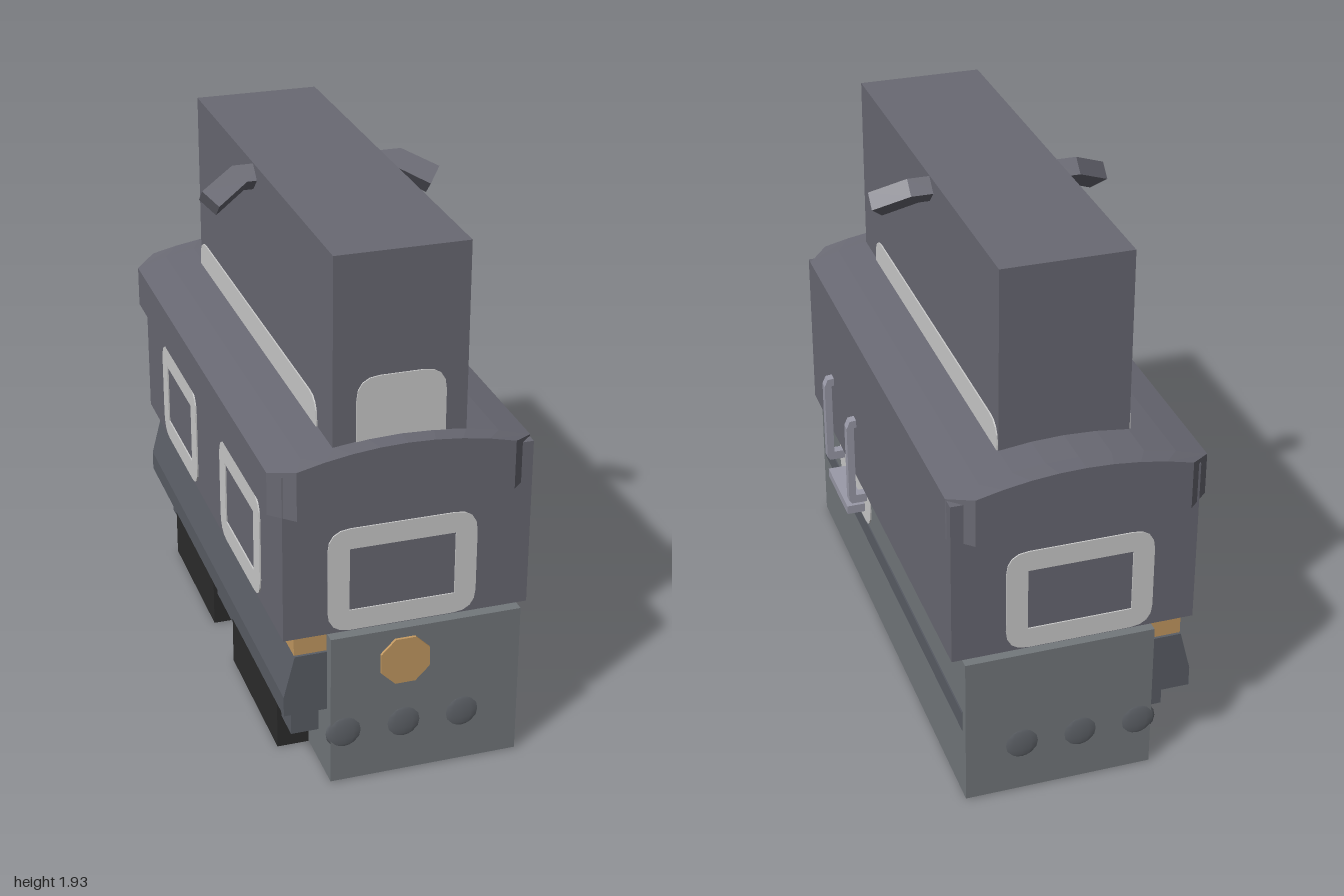
import * as THREE from 'three';

const CX = -0.02; // centre line of the body
const mat = (color, flat = true) =>
  new THREE.MeshStandardMaterial({ color, flatShading: flat, side: THREE.DoubleSide });
const body = mat(0x696973), lower = mat(0x73787c), trim = mat(0xcccccc), dark = mat(0x5a5e66);
const black = mat(0x2c2c2c), brass = mat(0xc49a62), metal = mat(0x9a9aa8);

export function createModel() {
  const model = new THREE.Group();
  const add = (name, geo, material, parent = model) => {
    const m = new THREE.Mesh(geo, material);
    m.name = name;
    parent.add(m);
    return m;
  };
  const box = (name, x0, x1, y0, y1, z0, z1, material) => {
    const m = add(name, new THREE.BoxGeometry(x1 - x0, y1 - y0, z1 - z0), material);
    m.position.set((x0 + x1) / 2, (y0 + y1) / 2, (z0 + z1) / 2);
    return m;
  };
  const poly = (pts) => new THREE.Shape(pts.map(([x, y]) => new THREE.Vector2(x, y)));
  const extrude = (shape, depth) =>
    new THREE.ExtrudeGeometry(shape, { depth, bevelEnabled: false, curveSegments: 4 });
  // Rectangle with rounded corners, centred on the origin
  const rounded = (w, h, r) => {
    const s = new THREE.Shape(), a = w / 2, b = h / 2;
    s.moveTo(-a + r, -b);
    s.lineTo(a - r, -b); s.quadraticCurveTo(a, -b, a, -b + r);
    s.lineTo(a, b - r); s.quadraticCurveTo(a, b, a - r, b);
    s.lineTo(-a + r, b); s.quadraticCurveTo(-a, b, -a, b - r);
    s.lineTo(-a, -b + r); s.quadraticCurveTo(-a, -b, -a + r, -b);
    return s;
  };
  // Thin rounded plate, with an optional rectangular opening
  const plate = (name, w, h, x, y, z, turn, open) => {
    const s = rounded(w, h, 0.08);
    if (open) {
      const a = w / 2 - 0.077, b = h / 2 - 0.077;
      s.holes.push(poly([[-a, -b], [-a, b], [a, b], [a, -b]]));
    }
    const m = add(name, extrude(s, 0.005), trim);
    m.position.set(x, y, z);
    m.rotation.y = turn;
  };

  // Main body
  box('lowerBody', -0.285, 0.4, 0.004, 0.58, -0.995, 0.99, lower);
  box('upperBody', -0.44, 0.437, 0.58, 1.2, -0.96, 0.95, body);
  box('tallHousing', -0.255, 0.21, 1.2, 1.93, -0.77, 0.91, body);

  // Arched roof with chamfered corners, from cross-sections along z
  const sections = [[-0.99, 0.38], [-0.915, 0.46], [0.91, 0.46], [0.985, 0.38]];
  const archY = (x) => 1.205 + 0.075 * (1 - (x / 0.46) ** 2);
  const us = [-1, -0.75, -0.5, -0.25, 0, 0.25, 0.5, 0.75, 1];
  const pos = [], idx = [], n = us.length + 2;
  sections.forEach(([z, w]) => {
    pos.push(CX - w, 1.05, z);
    us.forEach((u) => pos.push(CX + u * w, archY(u * w), z));
    pos.push(CX + w, 1.05, z);
  });
  for (let s = 0; s < 3; s++) for (let i = 0; i < n; i++) {
    const j = (i + 1) % n, a = s * n + i, b = s * n + j;
    idx.push(a, a + n, b, b, a + n, b + n);
  }
  for (let i = 1; i < n - 1; i++) {
    idx.push(0, i, i + 1);
    idx.push(3 * n, 3 * n + i + 1, 3 * n + i);
  }
  const roof = new THREE.BufferGeometry();
  roof.setAttribute('position', new THREE.Float32BufferAttribute(pos, 3));
  roof.setIndex(idx);
  roof.computeVertexNormals();
  add('roof', roof, body);

  // Flared skirt and the band above it
  const skirt = add('skirt', extrude(poly([
    [-0.4, 0.51], [-0.44, 0.355], [-0.44, 0.28], [0.402, 0.28], [0.402, 0.355], [0.36, 0.51],
  ]), 1.91), dark);
  skirt.position.z = -0.96;
  box('band', -0.4, 0.36, 0.51, 0.58, -0.95, 0.94, brass);

  // Undercarriage
  box('underBeam', -0.385, 0.3, 0.13, 0.28, -0.85, 0.85, dark);
  for (const z of [-0.435, 0.435])
    box('runningBlock', -0.4, 0.35, 0, 0.28, z - 0.295, z + 0.295, black);

  // End windows, side windows and the plates at the foot of the housing
  plate('frontWindowFrame', 0.53, 0.39, CX, 0.78, 0.95, 0, true);
  plate('backWindowFrame', 0.53, 0.39, CX, 0.78, -0.96, Math.PI, true);
  for (const z of [-0.43, 0.43])
    plate('sideWindowFrame', 0.52, 0.39, -0.44, 0.785, z, -Math.PI / 2, true);
  plate('frontPlate', 0.31, 0.38, CX, 1.31, 0.91, 0);
  plate('leftPlate', 1.51, 0.24, 0.21, 1.24, -0.01, Math.PI / 2);
  plate('rightPlate', 1.51, 0.24, -0.255, 1.24, -0.01, -Math.PI / 2);
  plate('doorPlate', 0.46, 0.42, 0.4, 0.575, 0.45, Math.PI / 2);

  // Head lamp and the rows of shallow domes at each end
  const lamp = add('headLamp', new THREE.CylinderGeometry(0.095, 0.095, 0.04, 8), brass);
  lamp.rotation.set(Math.PI / 2, Math.PI / 8, 0);
  lamp.position.set(CX, 0.455, 0.98);
  for (const z of [-0.99, 0.985]) for (const dx of [-0.215, 0, 0.215]) {
    const dome = add('dome', new THREE.SphereGeometry(0.067, 12, 8), mat(0x62666c, false));
    dome.scale.z = 0.16;
    dome.position.set(CX + dx, 0.2, z);
  }

  // Grab rails and step on the left side
  const rail = poly([
    [0.38, 0.475], [0.465, 0.475], [0.475, 0.49], [0.475, 0.81], [0.462, 0.84],
    [0.42, 0.845], [0.42, 0.815], [0.447, 0.81], [0.447, 0.51], [0.38, 0.51],
  ]);
  for (const z of [0.28, 0.62])
    add('grabRail', extrude(rail, 0.036), metal).position.z = z - 0.018;
  box('step', 0.38, 0.475, 0.405, 0.44, 0.3, 0.595, metal);

  // Bent arms near the top, tilted by an eighth of a turn
  for (const side of [-1, 1]) {
    const arm = add('arm', extrude(poly([
      [0.2, 0], [0.31, 0], [0.435, -0.085], [0.387, -0.15], [0.27, -0.067], [0.2, -0.067],
    ].map(([x, y]) => [side * x, y])), 0.067), body);
    arm.rotation.x = -Math.PI / 4;
    arm.position.set(CX, 1.88, -0.047);
  }
  return model;
}
